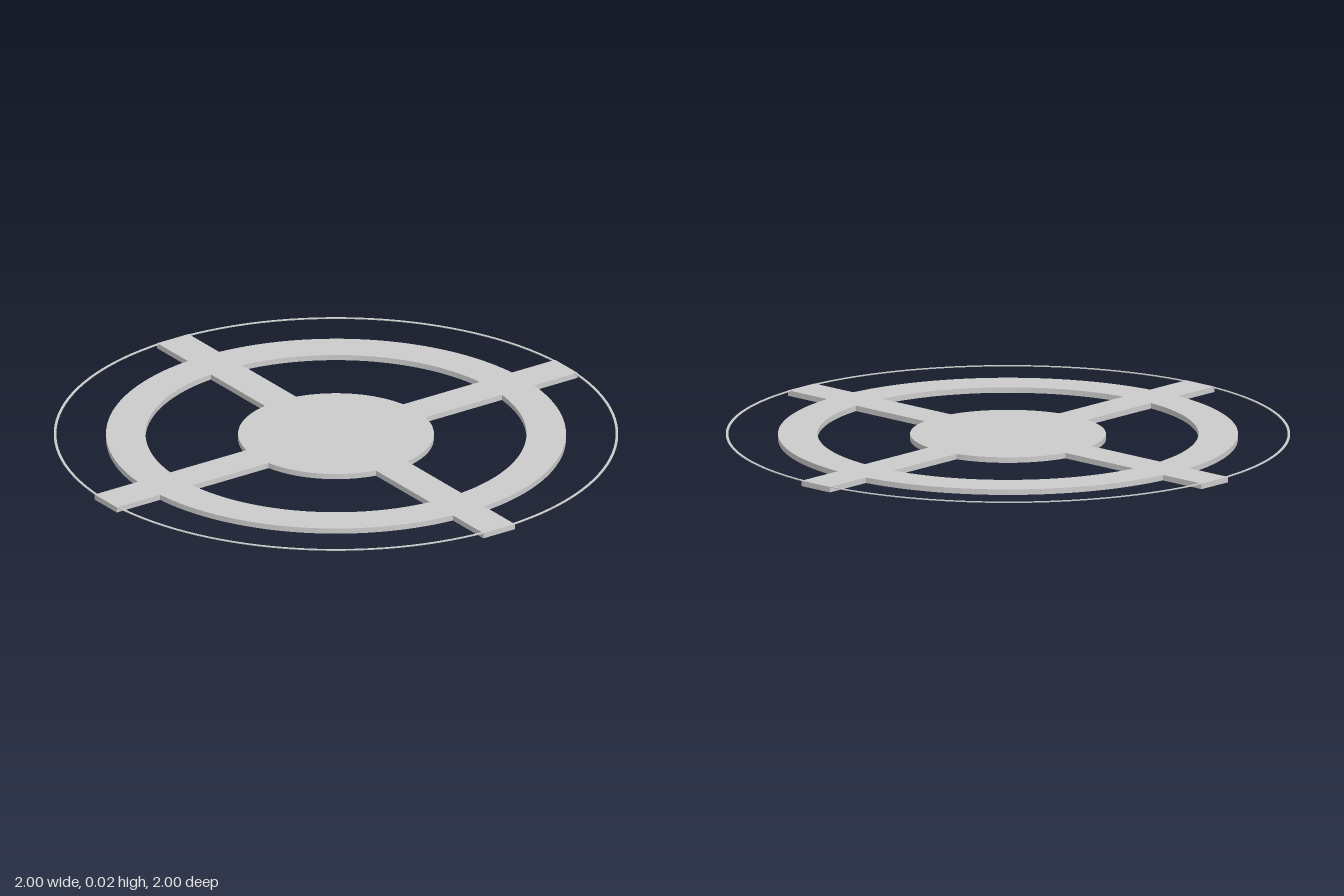
import * as THREE from 'three';

const HEIGHT = 0.02;
const HALF_SPOKE = 0.068;
const HUB = 0.347, BAND_IN = 0.675, BAND_OUT = 0.815, RIM_IN = 0.991, RIM_OUT = 1;

const material = new THREE.MeshStandardMaterial({ color: 0xcccccc });

// Angle at which a circle of radius r meets the side of a spoke
const spokeAngle = (r) => Math.asin(HALF_SPOKE / r);

// Extrude a plan shape upwards from the given height
function plate(name, shape, depth, y, curveSegments) {
  const geometry = new THREE.ExtrudeGeometry(shape, { depth, bevelEnabled: false, curveSegments });
  geometry.rotateX(-Math.PI / 2);
  geometry.translate(0, y, 0);
  const mesh = new THREE.Mesh(geometry, material);
  mesh.name = name;
  return mesh;
}

// Hub, four spokes and the broad band as one continuous plate
function wheelShape() {
  const shape = new THREE.Shape();
  const a = spokeAngle(BAND_OUT), b = spokeAngle(BAND_IN), c = spokeAngle(HUB);
  for (let i = 0; i < 4; i++) {
    const t = (i * Math.PI) / 2;
    const cos = Math.cos(t), sin = Math.sin(t);
    const corner = (x, y) => [x * cos - y * sin, x * sin + y * cos];

    // Spoke tip, then the band's outer edge up to the next spoke
    const start = corner(RIM_OUT, -HALF_SPOKE);
    if (i === 0) shape.moveTo(...start);
    else shape.lineTo(...start);
    shape.lineTo(...corner(RIM_OUT, HALF_SPOKE));
    shape.absarc(0, 0, BAND_OUT, t + a, t + Math.PI / 2 - a, false);

    // Window between hub and band
    const opening = new THREE.Path();
    opening.absarc(0, 0, BAND_IN, t + b, t + Math.PI / 2 - b, false);
    opening.absarc(0, 0, HUB, t + Math.PI / 2 - c, t + c, true);
    opening.closePath();
    shape.holes.push(opening);
  }
  shape.closePath();
  return shape;
}

// Fine circle joining the spoke tips
function rimShape() {
  const shape = new THREE.Shape();
  shape.absarc(0, 0, RIM_OUT, 0, Math.PI * 2, false);
  const hole = new THREE.Path();
  hole.absarc(0, 0, RIM_IN, 0, Math.PI * 2, true);
  shape.holes.push(hole);
  return shape;
}

export function createModel() {
  const group = new THREE.Group();
  group.name = 'spokedDisc';
  group.add(plate('spokedPlate', wheelShape(), HEIGHT, 0, 20));
  group.add(plate('outerRim', rimShape(), 0.003, HEIGHT - 0.003, 64));
  return group;
}
